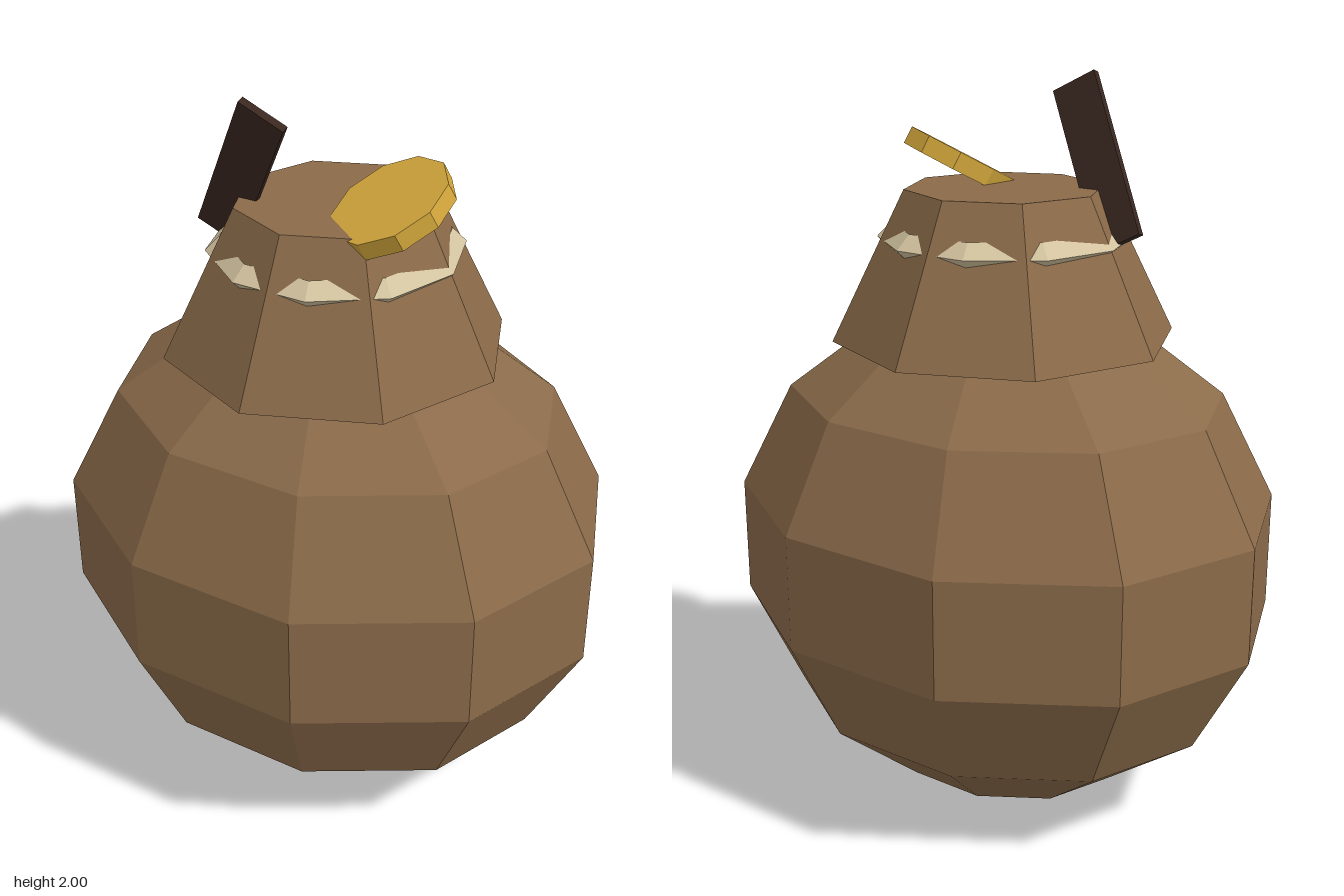
import * as THREE from 'three';

export function createModel() {
  const model = new THREE.Group();
  model.name = 'moneySack';

  function add(name, geometry, color, position, rotation = [0, 0, 0]) {
    const material = new THREE.MeshStandardMaterial({ color, flatShading: true });
    const mesh = new THREE.Mesh(geometry, material);
    mesh.name = name;
    mesh.position.set(...position);
    mesh.rotation.set(...rotation);
    model.add(mesh);
    return mesh;
  }

  // Bulging sack body, wider than deep
  const body = add('sackBody', new THREE.SphereGeometry(1, 10, 7), 0x8b6b4a, [0, 0.716, 0]);
  body.scale.set(0.79, 0.713, 0.674);

  // Gathered neck flaring over the body
  add('sackNeck', new THREE.CylinderGeometry(0.265, 0.461, 0.396, 8), 0x8b6b4a, [0, 1.511, 0]);

  // Cord tied around the neck, half sunk into the cloth
  add('cord', new THREE.TorusGeometry(0.298, 0.038, 4, 10), 0xd4c4a0, [0, 1.58, 0], [Math.PI / 2, 0, 0]);

  // Coin poking out of the top
  add('coin', new THREE.CylinderGeometry(0.16, 0.16, 0.048, 10), 0xd4a83c, [0.197, 1.75, 0.065], [0.4, 0, 0.3]);

  // Dark slat leaning out of the top
  add('slat', new THREE.BoxGeometry(0.13, 0.46, 0.022), 0x3a2820, [-0.2, 1.775, 0.13], [0.3, 0, -0.5]);

  return model;
}
